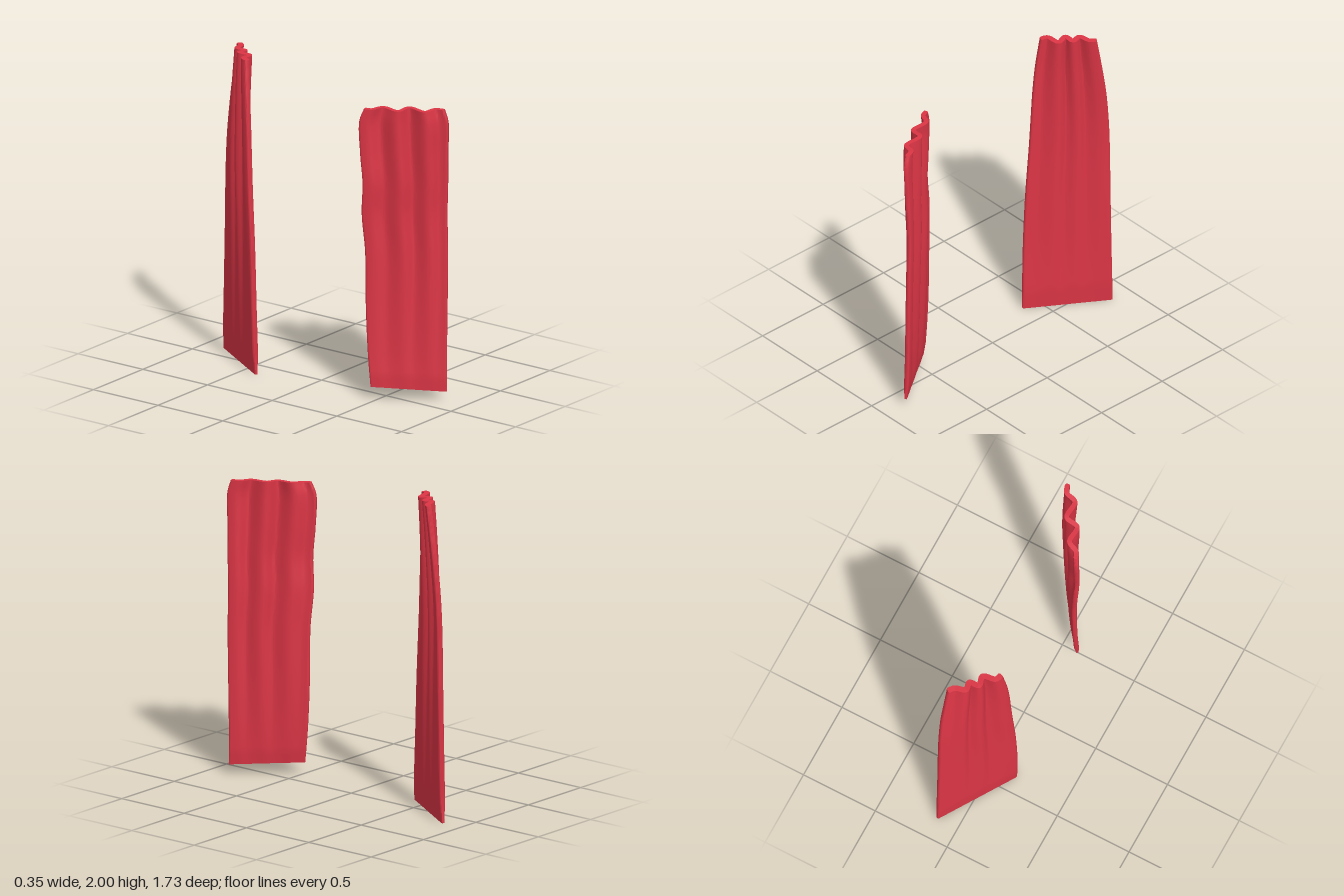
import * as THREE from 'three';
import { toCreasedNormals } from 'three/addons/utils/BufferGeometryUtils.js';

const COLS = 72, ROWS = 64;
const red = new THREE.MeshStandardMaterial({ color: 0xdc3545 });

// A hanging cloth slab: two side edges, with a fold profile that fades towards the hem.
// rows: [y, x, z of first edge, x, z of second edge], from hem to top
// folds: [position across 0..1, sideways offset] at the top
function drape({ name, rows, hemTilt, folds, half, drift, fade }) {
  const edgeA = new THREE.CatmullRomCurve3(rows.map(([y, x, z], i) => new THREE.Vector3(x, y + (i ? 0 : hemTilt), z)));
  const edgeB = new THREE.CatmullRomCurve3(rows.map(([y, , , x, z]) => new THREE.Vector3(x, y, z)));
  const profile = new THREE.SplineCurve(folds.map(([t, o]) => new THREE.Vector2(t, o)));
  const yMin = rows[0][0], yMax = rows[rows.length - 1][0];
  const loop = 2 * (COLS + 1);
  const positions = [], index = [];

  for (let r = 0; r <= ROWS; r++) {
    const a = edgeA.getPoint(r / ROWS), b = edgeB.getPoint(r / ROWS);
    const dir = b.clone().sub(a).setY(0).normalize();
    const side = new THREE.Vector3(dir.z, 0, -dir.x);

    // centre line of this cross-section
    const line = [];
    for (let c = 0; c <= COLS; c++) {
      const p = profile.getPoint(c / COLS);
      const base = a.clone().lerp(b, p.x);
      const h = THREE.MathUtils.clamp((base.y - yMin) / (yMax - yMin), 0, 1);
      const off = p.y * Math.pow(h, fade);
      const slide = drift * (1 - h) * h * Math.sin(Math.PI * p.x);
      line.push(base.addScaledVector(side, off).addScaledVector(dir, slide));
      line[c].y += off * 0.12 * h * h;
    }

    // thinner at the hem and at the two side edges
    const hem = 0.55 + 0.45 * Math.min(1, r / 3);
    const left = [], right = [];
    line.forEach((p, c) => {
      const t = line[Math.min(c + 1, COLS)].clone().sub(line[Math.max(c - 1, 0)]).setY(0).normalize();
      const n = new THREE.Vector3(t.z, 0, -t.x);
      const edge = Math.min(1, 0.6 + 0.2 * Math.min(c, COLS - c));
      left.push(p.clone().addScaledVector(n, half * hem * edge));
      right.push(p.clone().addScaledVector(n, -half * hem * edge));
    });
    [...left, ...right.reverse()].forEach((p) => positions.push(p.x, p.y, p.z));
  }

  // faces around the cloth
  for (let r = 0; r < ROWS; r++) {
    for (let i = 0; i < loop; i++) {
      const j = (i + 1) % loop;
      const p = r * loop + i, q = r * loop + j;
      index.push(p, p + loop, q, q, p + loop, q + loop);
    }
  }
  // closing strips at the hem and the top
  const top = ROWS * loop;
  for (let i = 0; i < COLS; i++) {
    const q = loop - 1 - i;
    index.push(top + i, top + q, top + i + 1, top + i + 1, top + q, top + q - 1);
    index.push(i, i + 1, q, i + 1, q - 1, q);
  }

  const geometry = new THREE.BufferGeometry();
  geometry.setAttribute('position', new THREE.Float32BufferAttribute(positions, 3));
  geometry.setIndex(index);
  const mesh = new THREE.Mesh(toCreasedNormals(geometry, 0.9), red);
  mesh.name = name;
  return mesh;
}

export function createModel() {
  const group = new THREE.Group();
  group.name = 'curtainPair';

  group.add(drape({
    name: 'frontCurtain',
    rows: [
      [0.06, -0.12, 0.47, 0.15, 0.855],
      [0.30, -0.12, 0.45, 0.155, 0.85],
      [0.60, -0.12, 0.435, 0.16, 0.85],
      [0.95, -0.12, 0.43, 0.165, 0.85],
      [1.20, -0.135, 0.415, 0.165, 0.845],
      [1.40, -0.14, 0.425, 0.165, 0.85],
      [1.60, -0.145, 0.41, 0.16, 0.855],
      [1.80, -0.145, 0.405, 0.155, 0.86],
      [1.88, -0.13, 0.43, 0.145, 0.84],
    ],
    hemTilt: 0.025,
    folds: [[0, 0], [0.1, -0.008], [0.24, 0.026], [0.42, -0.03], [0.56, 0.028], [0.75, -0.032], [0.88, 0.012], [1, 0]],
    half: 0.015, drift: 0.08, fade: 0.8,
  }));

  group.add(drape({
    name: 'backCurtain',
    rows: [
      [0.00, -0.155, -0.385, 0.145, -0.86],
      [0.40, -0.16, -0.395, 0.145, -0.85],
      [0.80, -0.155, -0.41, 0.145, -0.842],
      [1.20, -0.145, -0.435, 0.145, -0.835],
      [1.40, -0.14, -0.445, 0.145, -0.825],
      [1.60, -0.135, -0.455, 0.145, -0.805],
      [1.80, -0.125, -0.47, 0.14, -0.775],
      [2.00, -0.105, -0.49, 0.135, -0.74],
    ],
    hemTilt: 0,
    folds: [[0, 0], [0.13, 0.018], [0.32, -0.026], [0.44, 0.026], [0.58, -0.012], [0.69, 0.028], [0.86, -0.004], [1, 0]],
    half: 0.018, drift: 0.03, fade: 1,
  }));

  return group;
}
